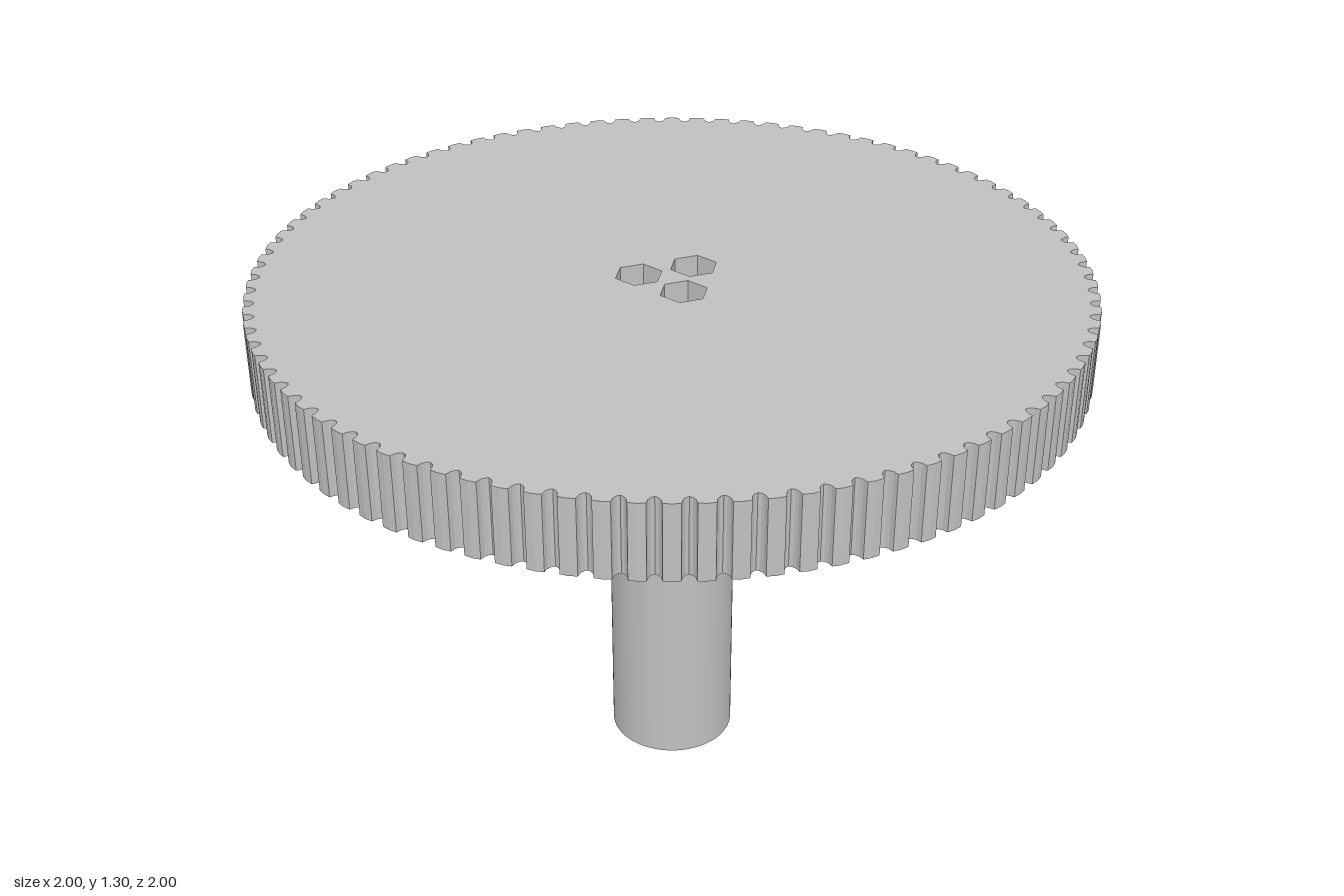
import * as THREE from 'three';

const TOP = 1.305, UNDER = 1.12, POCKET = 0.1; // disc faces and nut pocket depth
const STEM = 0.157, FILLET = 0.37, TEETH = 90;
const BORE = 0.036, HEX = 0.058, BOLT_CIRCLE = 0.08;

const bolts = [0, 1, 2].map((i) => {
  const a = (i * Math.PI * 2) / 3;
  return new THREE.Vector2(BOLT_CIRCLE * Math.cos(a), BOLT_CIRCLE * Math.sin(a));
});

// One tooth and its rounded groove: [fraction of pitch, radius]
const TOOTH = [[-0.27, 0.998], [0, 1], [0.27, 0.998], [0.31, 0.985], [0.39, 0.977], [0.5, 0.973], [0.61, 0.977], [0.69, 0.985]];

function gearOutline() {
  const pts = [];
  for (let i = 0; i < TEETH; i++) {
    for (const [f, r] of TOOTH) {
      const a = ((i + f) / TEETH) * Math.PI * 2;
      pts.push(new THREE.Vector2(r * Math.cos(a), r * Math.sin(a)));
    }
  }
  return pts;
}

// Regular polygon with a corner on the second axis
function ring(radius, sides, c = new THREE.Vector2()) {
  return Array.from({ length: sides }, (_, i) => {
    const a = Math.PI / 2 + (i / sides) * Math.PI * 2;
    return new THREE.Vector2(c.x + radius * Math.cos(a), c.y + radius * Math.sin(a));
  });
}

// Flat horizontal face with holes, facing up or down
function plate(outline, holes, y, up) {
  const shape = new THREE.Shape(outline);
  shape.holes = holes.map((h) => new THREE.Path(h));
  return new THREE.ShapeGeometry(shape).rotateX(up ? -Math.PI / 2 : Math.PI / 2).translate(0, y, 0);
}

// Upright faceted wall following a closed counter-clockwise outline
function wall(outline, y0, y1) {
  const pos = [];
  outline.forEach((a, i) => {
    const b = outline[(i + 1) % outline.length];
    pos.push(a.x, y0, -a.y, b.x, y0, -b.y, b.x, y1, -b.y);
    pos.push(a.x, y0, -a.y, b.x, y1, -b.y, a.x, y1, -a.y);
  });
  const g = new THREE.BufferGeometry();
  g.setAttribute('position', new THREE.Float32BufferAttribute(pos, 3));
  g.computeVertexNormals();
  return g;
}

// Inward-facing tube
function tube(radius, y0, y1, sides) {
  return new THREE.LatheGeometry([new THREE.Vector2(radius, y1), new THREE.Vector2(radius, y0)], sides);
}

export function createModel() {
  const model = new THREE.Group();
  const grey = new THREE.MeshStandardMaterial({ color: 0xc0c0c0 });
  grey.name = 'grey';
  const add = (name, geometry, parent = model) => {
    const mesh = new THREE.Mesh(geometry, grey);
    mesh.name = name;
    parent.add(mesh);
    return mesh;
  };

  // Toothed disc
  const outline = gearOutline();
  const disc = new THREE.Group();
  disc.name = 'toothedDisc';
  model.add(disc);
  add('discTop', plate(outline, bolts.map((c) => ring(HEX, 6, c)), TOP, true), disc);
  add('discTeeth', wall(outline, UNDER, TOP), disc);
  add('discUnderside', plate(outline, [ring(STEM + FILLET, 96)], UNDER, false), disc);

  // Stem flaring into the disc
  const profile = [new THREE.Vector2(STEM, 0)];
  for (let i = 0; i <= 24; i++) {
    const a = (i / 24) * Math.PI / 2;
    profile.push(new THREE.Vector2(STEM + FILLET * (1 - Math.cos(a)), UNDER - FILLET + FILLET * Math.sin(a)));
  }
  add('flaredStem', new THREE.LatheGeometry(profile, 96));
  add('stemBase', plate(ring(STEM, 96), bolts.map((c) => ring(BORE, 32, c)), 0, false));

  // Bolt bores with hexagonal nut pockets
  for (const c of bolts) {
    const hole = new THREE.Group();
    hole.name = 'boltHole';
    hole.position.set(c.x, 0, c.y);
    model.add(hole);
    const pocket = tube(HEX, TOP - POCKET, TOP, 6).toNonIndexed();
    pocket.computeVertexNormals();
    add('nutPocketWall', pocket, hole);
    add('nutPocketFloor', plate(ring(HEX, 6), [ring(BORE, 32)], TOP - POCKET, true), hole);
    add('bore', tube(BORE, 0, TOP - POCKET, 32), hole);
  }
  return model;
}
